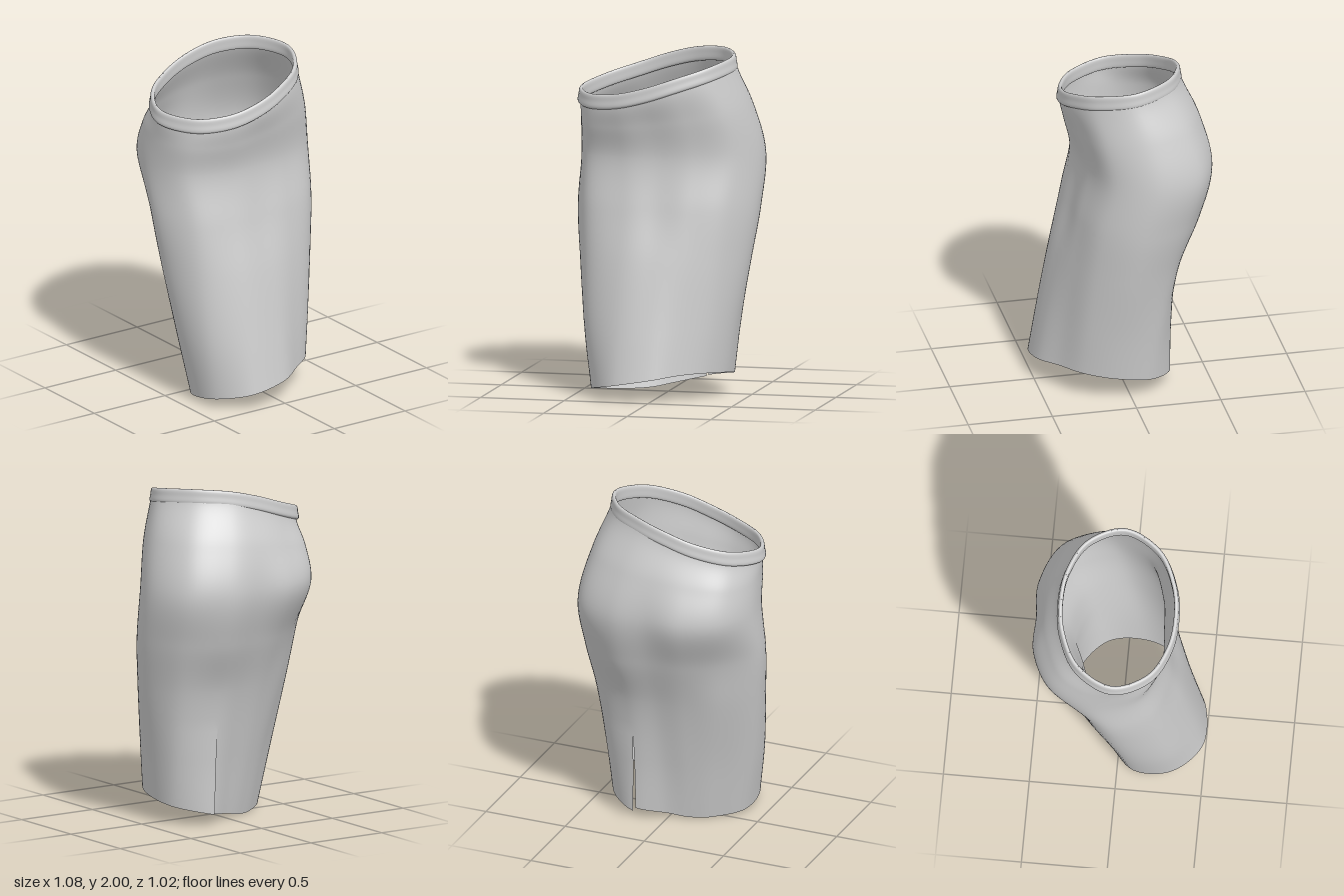
import * as THREE from 'three';
import { mergeVertices } from 'three/addons/utils/BufferGeometryUtils.js';

// Cross-sections from waist to hem: centre x, z, height, and its tilt along cos and sin;
// r = radius every 30 degrees, from +x (left side) through +z (front) and -x to -z (back).
const sections = [
  { cx: -0.07, cz: -0.02, y: 1.882, tilt: [0.102, -0.059], r: [0.45, 0.41, 0.354, 0.333, 0.354, 0.41, 0.45, 0.41, 0.354, 0.333, 0.354, 0.41] },
  { cx: -0.07, cz: -0.02, y: 1.79, tilt: [0.1, -0.058], r: [0.475, 0.43, 0.367, 0.337, 0.362, 0.42, 0.455, 0.42, 0.37, 0.355, 0.385, 0.44] },
  { cx: -0.03, cz: -0.08, y: 1.63, tilt: [0.05, -0.03], r: [0.505, 0.47, 0.39, 0.36, 0.41, 0.49, 0.495, 0.47, 0.4, 0.38, 0.42, 0.49] },
  { cx: 0, cz: -0.13, y: 1.4, tilt: [0, 0], r: [0.535, 0.49, 0.4, 0.37, 0.43, 0.53, 0.53, 0.5, 0.43, 0.375, 0.44, 0.525] },
  { cx: 0, cz: -0.05, y: 1.1, tilt: [0, 0], r: [0.525, 0.46, 0.37, 0.335, 0.4, 0.51, 0.54, 0.44, 0.39, 0.37, 0.45, 0.52] },
  { cx: 0, cz: 0, y: 0.8, tilt: [0, 0], r: [0.485, 0.43, 0.365, 0.36, 0.42, 0.5, 0.51, 0.4, 0.33, 0.31, 0.375, 0.47] },
  { cx: 0, cz: 0.06, y: 0.4, tilt: [0.02, 0.015], r: [0.42, 0.385, 0.345, 0.375, 0.435, 0.48, 0.45, 0.33, 0.28, 0.275, 0.37, 0.44] },
  { cx: 0, cz: 0.1, y: 0.083, tilt: [0.061, 0.051], r: [0.38, 0.35, 0.33, 0.385, 0.445, 0.44, 0.385, 0.28, 0.24, 0.255, 0.38, 0.42] },
];

const rings = sections.map(({ cx, cz, y, tilt, r }) => new THREE.CatmullRomCurve3(
  r.map((radius, i) => {
    const a = (i * Math.PI) / 6;
    const c = Math.cos(a), s = Math.sin(a);
    return new THREE.Vector3(cx + radius * c, y + tilt[0] * c + tilt[1] * s, cz + radius * s);
  }), true, 'catmullrom', 0.5));

// Smooth sheet from a grid of points; matching edges are welded
function sheet(name, columns, rows, pointAt) {
  const positions = [], index = [];
  for (let i = 0; i <= rows; i++) {
    for (let j = 0; j <= columns; j++) {
      positions.push(...pointAt(j / columns, i / rows).toArray());
      if (i < rows && j < columns) {
        const a = i * (columns + 1) + j, b = a + columns + 1;
        index.push(a, a + 1, b, a + 1, b + 1, b);
      }
    }
  }
  let geometry = new THREE.BufferGeometry();
  geometry.setAttribute('position', new THREE.Float32BufferAttribute(positions, 3));
  geometry.setIndex(index);
  geometry = mergeVertices(geometry, 1e-4);
  geometry.computeVertexNormals();
  const mesh = new THREE.Mesh(geometry, new THREE.MeshStandardMaterial({ color: 0xcccccc, side: THREE.DoubleSide }));
  mesh.name = name;
  return mesh;
}

export function createModel() {
  const group = new THREE.Group();
  group.name = 'skirt';

  // Skirt cloth: each column is a curve down through the sections, starting at the back slit
  const slit = 0.825, slitTop = 0.6, columns = 96;
  const lines = [];
  for (let j = 0; j <= columns; j++) {
    const t = (slit + (j % columns) / columns) % 1;
    lines.push(new THREE.CatmullRomCurve3(rings.map((ring) => ring.getPoint(t))));
  }
  group.add(sheet('skirtBody', columns, 70, (u, v) => {
    const p = lines[Math.round(u * columns)].getPoint(v);
    // One side of the slit stands away from the other
    const open = Math.max(0, 1 - p.y / slitTop) * Math.max(0, 1 - u / 0.12);
    p.z -= 0.045 * open;
    return p;
  }));

  // Waistband: a rounded strip swept around the top edge
  const profile = new THREE.CatmullRomCurve3([
    [-0.008, 0.006], [0.002, 0], [0.012, 0.008], [0.017, 0.04], [0.022, 0.075], [0.012, 0.086], [-0.006, 0.08], [-0.01, 0.04],
  ].map(([out, down]) => new THREE.Vector3(out, -down, 0)), true);
  group.add(sheet('waistband', columns, 32, (u, v) => {
    const p = rings[0].getPoint(u % 1);
    const tangent = rings[0].getTangent(u % 1);
    const outward = new THREE.Vector3(tangent.z, 0, -tangent.x).normalize();
    const q = profile.getPoint(v % 1);
    p.addScaledVector(outward, q.x);
    p.y += q.y;
    return p;
  }));
  return group;
}
